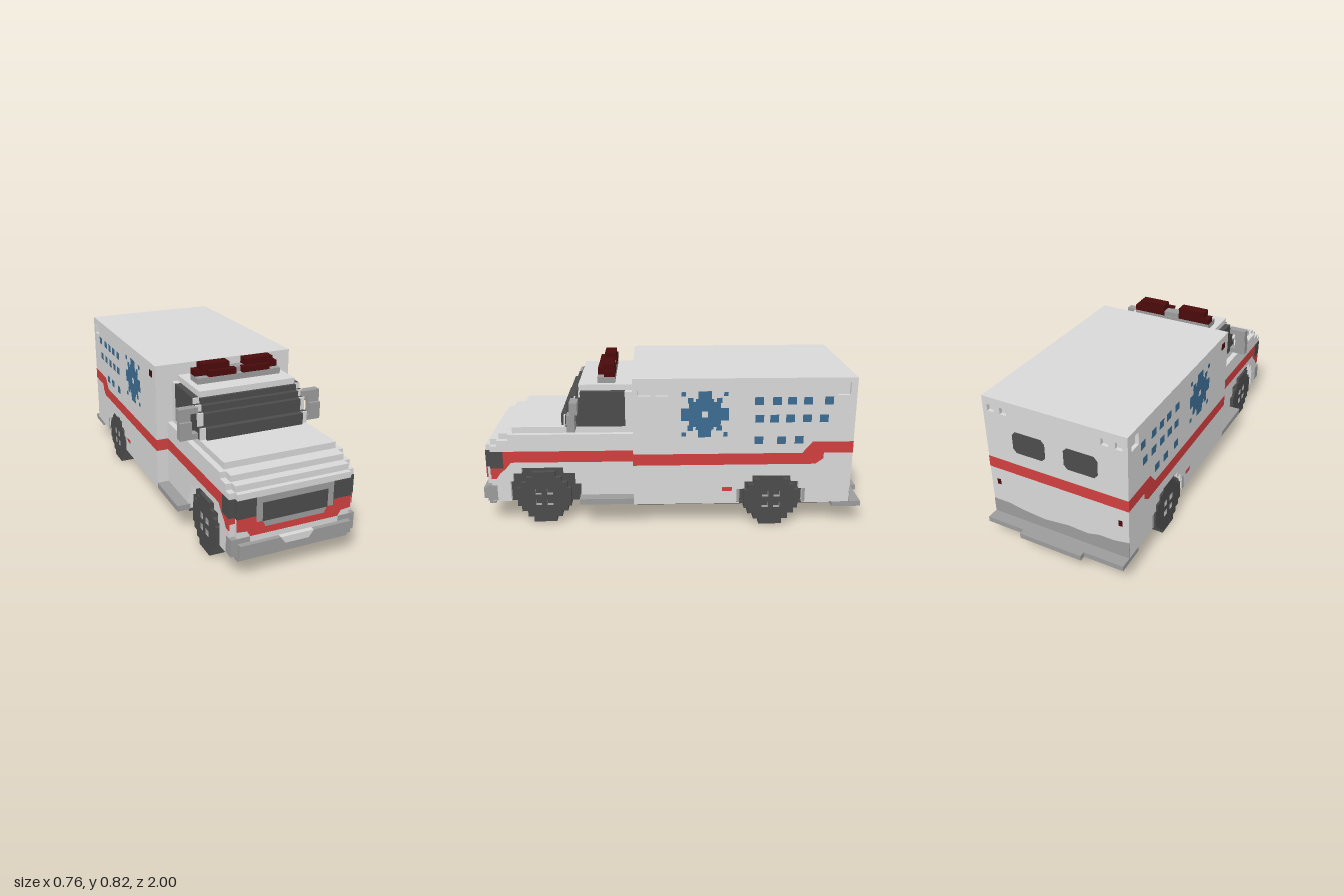
import * as THREE from 'three';

const mat = (name, color) => {
  const m = new THREE.MeshStandardMaterial({ color });
  m.name = name;
  return m;
};

export function createModel() {
  const paint = mat('light body paint', 0xd8d8d8);
  const trim = mat('grey trim', 0x9c9c9c);
  const dark = mat('dark glass and rubber', 0x4c4c4c);
  const red = mat('red stripe', 0xd23f3f);
  const lamp = mat('dark red lamp', 0x4a0a0b);
  const blue = mat('blue marking', 0x3c6d92);

  const model = new THREE.Group();
  model.name = 'ambulance';

  const add = (name, geo, m) => {
    const mesh = new THREE.Mesh(geo, m);
    mesh.name = name;
    model.add(mesh);
    return mesh;
  };
  // Box given by its limits on each axis
  const box = (name, m, x0, x1, y0, y1, z0, z1) =>
    add(name, new THREE.BoxGeometry(x1 - x0, y1 - y0, z1 - z0)
      .translate((x0 + x1) / 2, (y0 + y1) / 2, (z0 + z1) / 2), m);
  // The same box on both sides
  const pair = (name, m, x0, x1, ...r) => {
    box(name + 'Left', m, x0, x1, ...r);
    box(name + 'Right', m, -x1, -x0, ...r);
  };
  const toPoints = pts => pts.map(p => new THREE.Vector2(p[0], p[1]));
  const rect = (a, b, c, d) => [[a, c], [b, c], [b, d], [a, d]];
  const extrude = (pts, depth, holes = []) => {
    const s = new THREE.Shape(toPoints(pts));
    for (const h of holes) s.holes.push(new THREE.Path(toPoints(h)));
    return new THREE.ExtrudeGeometry(s, { depth, bevelEnabled: false });
  };
  // Side outline in (z, y), extruded across x
  const slab = (name, m, pts, x0, x1, holes) =>
    add(name, extrude(pts, x1 - x0, holes).rotateY(-Math.PI / 2).translate(x1, 0, 0), m);
  const slabPair = (name, m, pts, x0, x1, holes) => {
    slab(name + 'Left', m, pts, x0, x1, holes);
    slab(name + 'Right', m, pts, -x1, -x0, holes);
  };

  // Rear compartment with stepped wheel arches
  const rearArch = [[-0.66, 0.12], [-0.66, 0.2], [-0.64, 0.2], [-0.64, 0.24], [-0.6, 0.24], [-0.6, 0.272],
    [-0.4, 0.272], [-0.4, 0.24], [-0.36, 0.24], [-0.36, 0.2], [-0.335, 0.2], [-0.335, 0.12]];
  const boxSide = [[-0.89, 0.79], [-0.89, 0.12], ...rearArch, [0.21, 0.12], [0.21, 0.79]];
  const rearPort = rect(-0.875, -0.81, 0.7, 0.763);
  slab('compartmentCore', paint, boxSide, -0.36, 0.36);
  slab('compartmentSideLeft', paint, boxSide, 0.36, 0.378,
    [rect(0.12, 0.185, 0.7, 0.763), rect(0.03, 0.095, 0.7, 0.763), rearPort]);
  slab('compartmentSideRight', paint, boxSide, -0.378, -0.36, [rearPort]);
  box('sideLampRight', lamp, -0.38, -0.375, 0.718, 0.752, 0.125, 0.165);
  const ports = [];
  for (const x of [-0.335, -0.265, 0.265, 0.335]) ports.push(rect(x - 0.018, x + 0.018, 0.715, 0.75));
  add('compartmentBack', extrude(rect(-0.378, 0.378, 0.12, 0.79), 0.02, ports).translate(0, 0, -0.908), paint);

  // Rear windows, stripe, scuffed skirt and lamps
  for (const s of [-1, 1]) {
    const c = s * 0.138;
    add('rearWindow', extrude([[c - 0.07, 0.525], [c + 0.07, 0.525], [c + 0.088, 0.545], [c + 0.088, 0.62],
      [c + 0.07, 0.64], [c - 0.07, 0.64], [c - 0.088, 0.62], [c - 0.088, 0.545]], 0.005).translate(0, 0, -0.91), dark);
  }
  box('rearStripe', red, -0.379, 0.379, 0.395, 0.455, -0.909, -0.905);
  add('rearSkirt', extrude([[-0.378, 0.12], [0.378, 0.12], [0.378, 0.2], [0.29, 0.2], [0.2, 0.185], [0.08, 0.175],
    [-0.05, 0.19], [-0.16, 0.185], [-0.22, 0.2], [-0.3, 0.2], [-0.378, 0.215]], 0.005).translate(0, 0, -0.91), trim);
  pair('tailLamp', lamp, 0.325, 0.345, 0.3, 0.33, -0.91, -0.905);
  box('rearBumper', trim, -0.378, 0.378, 0.095, 0.122, -0.97, -0.82);
  box('rearStep', trim, -0.17, 0.17, 0.095, 0.122, -1, -0.97);

  // Side stripe and small side marks
  slabPair('sideStripe', red, [[0.211, 0.335], [0.211, 0.395], [-0.65, 0.395], [-0.7, 0.455], [-0.909, 0.455],
    [-0.909, 0.395], [-0.76, 0.395], [-0.76, 0.365], [-0.72, 0.335]], 0.375, 0.379);
  pair('stripeReturn', red, 0.317, 0.379, 0.335, 0.395, 0.207, 0.212);
  pair('sideMarker', red, 0.375, 0.379, 0.19, 0.21, -0.295, -0.245);
  pair('archTrimFront', trim, 0.375, 0.379, 0.125, 0.2, -0.335, -0.32);
  pair('archTrimRear', trim, 0.375, 0.379, 0.125, 0.2, -0.675, -0.66);

  // Stepped outline from the outer corners of one quarter
  const stepped = (q, cu, cv) => {
    const quarter = [];
    q.forEach(([u, v], i) => {
      quarter.push([u, v]);
      if (q[i + 1]) quarter.push([u, q[i + 1][1]]);
    });
    const back = [...quarter].reverse();
    return [...quarter, ...back.map(([u, v]) => [u, -v]), ...quarter.map(([u, v]) => [-u, -v]),
      ...back.map(([u, v]) => [-u, v])].map(([u, v]) => [cu + u, cv + v]);
  };

  // Plain blue star ornament and rows of square dashes
  slabPair('sideStar', blue, stepped([[0.033, 0.12], [0.045, 0.08], [0.08, 0.065], [0.12, 0.033]], -0.15, 0.605),
    0.375, 0.379, [rect(-0.165, -0.135, 0.59, 0.62)]);
  for (const z of [-0.045, -0.255]) for (const y of [0.5, 0.71])
    pair('starDot', blue, 0.375, 0.379, y - 0.011, y + 0.011, z - 0.011, z + 0.011);
  for (const dz of [-0.072, 0.072]) for (const dy of [-0.072, 0.072])
    pair('starRay', blue, 0.375, 0.379, 0.605 + dy - 0.014, 0.605 + dy + 0.014, -0.15 + dz - 0.014, -0.15 + dz + 0.014);
  const dashes = [[0.672, [-0.42, -0.51, -0.585, -0.665, -0.77]], [0.58, [-0.425, -0.5, -0.58, -0.665, -0.75]],
    [0.465, [-0.425, -0.54, -0.63]]];
  for (const [y, zs] of dashes) for (const z of zs)
    pair('sideDash', blue, 0.375, 0.379, y - 0.02, y + 0.02, z - 0.022, z + 0.022);

  // Cab lower body and stepped bonnet
  const frontArch = [[0.485, 0.12], [0.485, 0.215], [0.515, 0.215], [0.515, 0.275], [0.575, 0.275], [0.575, 0.305],
    [0.79, 0.305], [0.79, 0.275], [0.835, 0.275], [0.835, 0.23], [0.85, 0.23], [0.85, 0.12]];
  slab('cabBody', paint, [[0.21, 0.12], ...frontArch, [0.97, 0.12], [0.97, 0.425], [0.945, 0.425], [0.945, 0.455],
    [0.9, 0.455], [0.9, 0.485], [0.83, 0.485], [0.83, 0.517], [0.21, 0.517]], -0.288, 0.288);
  slabPair('cabSide', paint, [[0.21, 0.12], ...frontArch, [0.945, 0.12], [0.945, 0.425], [0.91, 0.425], [0.91, 0.455],
    [0.85, 0.455], [0.85, 0.485], [0.21, 0.485]], 0.288, 0.317);
  slabPair('cabStripe', red, [[0.21, 0.335], [0.84, 0.335], [0.87, 0.3], [0.9, 0.275], [0.92, 0.245], [0.946, 0.245],
    [0.946, 0.305], [0.88, 0.335], [0.88, 0.395], [0.21, 0.395]], 0.314, 0.318);
  pair('runningBoard', trim, 0.31, 0.378, 0.122, 0.152, 0.21, 0.49);

  // Cab glass with stepped windscreen, pillars and roof
  box('sideGlass', dark, -0.288, 0.288, 0.517, 0.7, 0.25, 0.46);
  box('rearPillar', paint, -0.288, 0.288, 0.517, 0.7, 0.21, 0.25);
  for (const [y0, y1, z] of [[0.517, 0.575, 0.58], [0.575, 0.64, 0.55], [0.64, 0.672, 0.525], [0.672, 0.7, 0.5]]) {
    box('windscreen', dark, -0.257, 0.257, y0, y1, 0.45, z);
    pair('frontGlass', dark, 0.257, 0.288, y0, y1, 0.45, z - 0.024);
    pair('frontPillar', paint, 0.257, 0.288, y0, y1, z - 0.024, z - 0.016);
  }
  box('cabRoof', paint, -0.257, 0.257, 0.7, 0.73, 0.21, 0.485);

  // Wing mirrors on two arms
  pair('mirrorHigh', trim, 0.318, 0.378, 0.605, 0.668, 0.485, 0.525);
  pair('mirrorLow', trim, 0.318, 0.378, 0.517, 0.605, 0.5, 0.54);
  pair('mirrorArmLow', trim, 0.288, 0.32, 0.517, 0.545, 0.5, 0.54);
  pair('mirrorArmHigh', trim, 0.28, 0.32, 0.64, 0.668, 0.485, 0.525);

  // Roof light bar
  box('lightBarBase', trim, -0.225, 0.225, 0.73, 0.76, 0.3, 0.39);
  box('lightBarCentre', trim, -0.045, 0.045, 0.76, 0.785, 0.305, 0.36);
  pair('beaconLow', lamp, 0.045, 0.225, 0.76, 0.79, 0.3, 0.355);
  pair('beaconFront', lamp, 0.018, 0.165, 0.76, 0.79, 0.355, 0.39);
  pair('beaconTop', lamp, 0.045, 0.195, 0.79, 0.82, 0.305, 0.365);

  // Front face: grille, headlamps and red apron
  box('grilleSurround', trim, -0.197, 0.197, 0.245, 0.395, 0.966, 0.973);
  box('grille', dark, -0.165, 0.165, 0.275, 0.365, 0.97, 0.977);
  pair('headlamp', dark, 0.197, 0.291, 0.305, 0.395, 0.93, 0.974);
  pair('headlampSide', dark, 0.288, 0.319, 0.305, 0.395, 0.88, 0.949);
  add('frontStripe', extrude([[-0.225, 0.213], [0.225, 0.213], [0.24, 0.24], [0.29, 0.245], [0.29, 0.305],
    [0.197, 0.305], [0.197, 0.275], [0.165, 0.275], [0.15, 0.245], [-0.15, 0.245], [-0.165, 0.275], [-0.197, 0.275],
    [-0.197, 0.305], [-0.29, 0.305], [-0.29, 0.245], [-0.24, 0.24]], 0.007).translate(0, 0, 0.968), red);
  pair('stripeCorner', red, 0.288, 0.318, 0.275, 0.305, 0.92, 0.948);

  // Front bumper
  box('bumperWrap', trim, -0.318, 0.318, 0.125, 0.21, 0.92, 0.972);
  box('bumper', trim, -0.285, 0.285, 0.125, 0.185, 0.965, 0.998);
  box('bumperLip', trim, -0.285, 0.285, 0.095, 0.126, 0.94, 0.972);
  box('bumperTop', paint, -0.225, 0.225, 0.183, 0.213, 0.96, 0.976);
  add('bumperPlate', extrude([[-0.06, 0.153], [0.06, 0.153], [0.085, 0.187], [-0.085, 0.187]], 0.035)
    .translate(0, 0, 0.965), paint);

  // Underbody with a lower central chassis, and wheel wells
  box('underbody', dark, -0.285, 0.285, 0.11, 0.125, -0.82, 0.945);
  box('chassis', dark, -0.225, 0.225, 0.095, 0.112, -0.82, 0.5);
  pair('underbodySill', dark, 0.285, 0.365, 0.112, 0.125, -0.82, 0.21);
  pair('cabSill', dark, 0.285, 0.315, 0.112, 0.125, 0.21, 0.49);
  box('frontWheelWell', dark, -0.29, 0.29, 0.12, 0.306, 0.48, 0.855);
  box('rearWheelWell', dark, -0.35, 0.35, 0.12, 0.273, -0.665, -0.33);

  // Blocky wheels whose hubs have four grey-walled square recesses
  const tread = [[0.06, 0.14], [0.09, 0.11], [0.12, 0.08], [0.14, 0.05]];
  for (const [name, z, face] of [['frontWheel', 0.68, 0.317], ['rearWheel', -0.5, 0.378]]) {
    const outline = stepped(tread, z, 0.14);
    const hub = rect(z - 0.055, z + 0.055, 0.085, 0.195);
    const holes = [];
    for (const dz of [-0.03, 0.03]) for (const dy of [-0.03, 0.03])
      holes.push(rect(z + dz - 0.016, z + dz + 0.016, 0.14 + dy - 0.016, 0.14 + dy + 0.016));
    slabPair(name + 'Tyre', dark, outline, 0.17, face - 0.024);
    slabPair(name + 'Face', dark, outline, face - 0.024, face, [hub]);
    slabPair(name + 'Hub', [dark, trim], hub, face - 0.024, face, holes);
  }
  return model;
}
